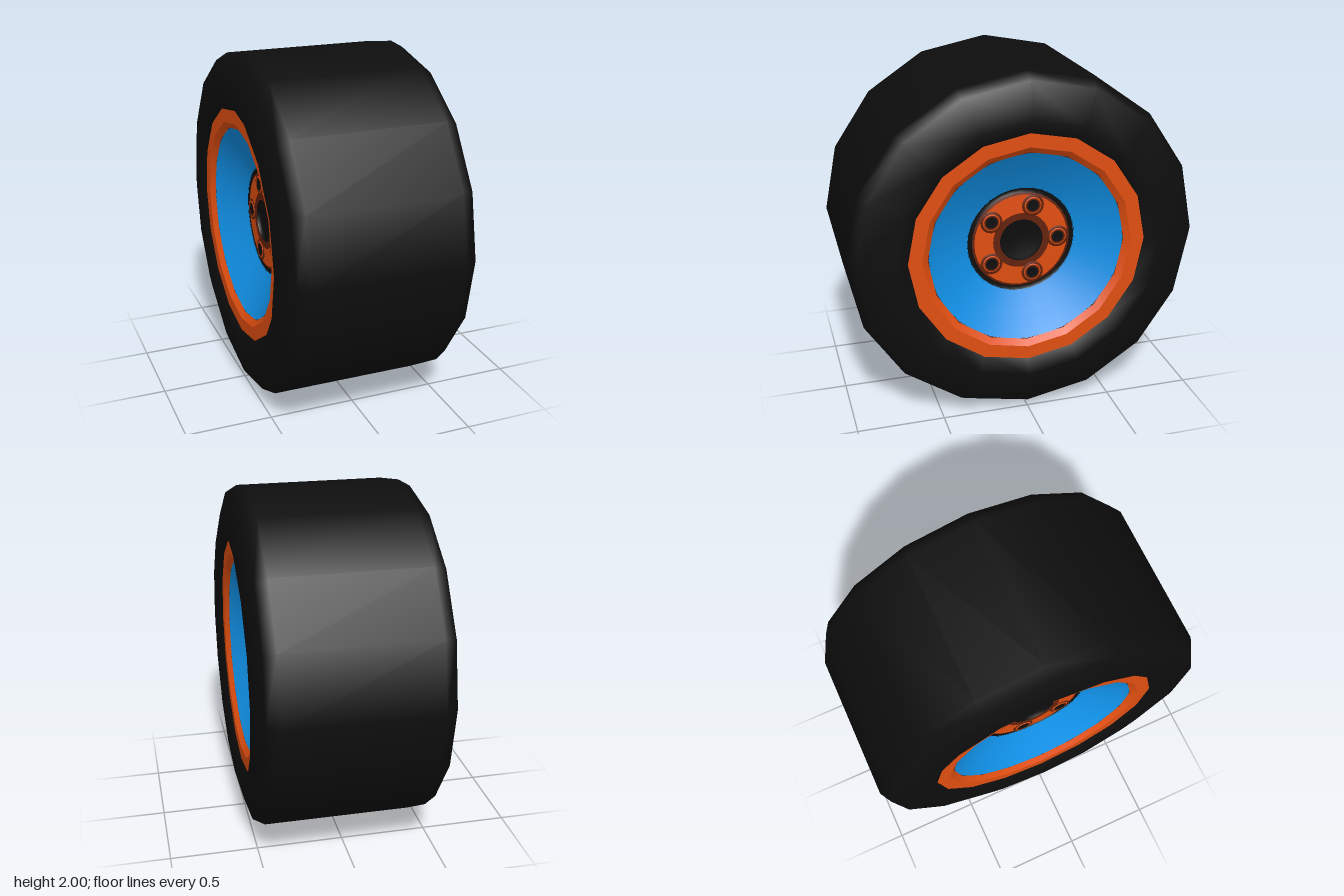
import * as THREE from 'three';

const material = (name, color, side = THREE.FrontSide) => {
  const m = new THREE.MeshStandardMaterial({ color, side });
  m.name = name;
  return m;
};

export function createModel() {
  const rubber = material('rubber black', 0x0d0d0d);
  const orange = material('orange', 0xe04e10);
  const blue = material('blue', 0x1090e6);
  const brown = material('dark orange', 0x64210b);

  // Adds a turned part: profile points are [radius, distance along axle]
  const turned = (parent, name, mat, segments, profile) => {
    const points = profile.map(([r, h]) => new THREE.Vector2(r, h));
    const mesh = new THREE.Mesh(new THREE.LatheGeometry(points, segments), mat);
    mesh.name = name;
    parent.add(mesh);
    return mesh;
  };

  const wheel = new THREE.Group();
  wheel.name = 'wheel';

  // Sixteen-sided tyre with rounded shoulders
  const half = [[1, 0.435], [0.96, 0.505], [0.76, 0.555], [0.675, 0.51]];
  const tyreProfile = [...half.map(([r, h]) => [r, -h]).reverse(), ...half];
  const tyre = turned(wheel, 'tyre', rubber, 16, tyreProfile);
  tyre.rotation.z = -Math.PI / 2;

  // One wheel face, built with its outward direction along +y
  const makeFace = (name) => {
    const face = new THREE.Group();
    face.name = name;

    // Rim lip and its inner bevel
    turned(face, 'rimLip', orange, 16, [[0.68, 0.512], [0.6, 0.512]]);
    turned(face, 'rimBevel', orange, 16, [[0.6, 0.512], [0.565, 0.485]]);
    turned(face, 'rimSeam', brown, 32, [[0.58, 0.488], [0.558, 0.484]]);

    // Dished disc, dark gap and hub plate
    turned(face, 'dish', blue, 32, [[0.56, 0.485], [0.44, 0.41], [0.312, 0.35]]);
    turned(face, 'hubGap', rubber, 32, [[0.315, 0.352], [0.3, 0.335], [0.284, 0.35]]);
    turned(face, 'hubEdge', brown, 32, [[0.286, 0.35], [0.272, 0.354]]);
    turned(face, 'hubPlate', orange, 32, [[0.273, 0.354], [0.16, 0.358]]);
    turned(face, 'hubCollar', brown, 32, [[0.165, 0.358], [0.125, 0.358]]);
    turned(face, 'axleHole', rubber, 32, [[0.126, 0.358], [0.122, 0.335], [0, 0.335]]);

    // Five wheel nuts, each a washer, a raised ring and a dark socket
    for (let i = 0; i < 5; i++) {
      const a = Math.PI + (i * Math.PI * 2) / 5;
      const nut = new THREE.Group();
      nut.name = 'wheelNut';
      nut.position.set(Math.sin(a) * 0.215, 0.356, Math.cos(a) * 0.215);
      turned(nut, 'washer', brown, 16, [[0.064, -0.004], [0.064, 0.003], [0.044, 0.003]]);
      turned(nut, 'nutRing', orange, 16, [[0.05, 0.003], [0.049, 0.006], [0.043, 0.006]]);
      turned(nut, 'nutSeat', brown, 16, [[0.044, 0.006], [0.034, 0.006]]);
      turned(nut, 'socket', rubber, 12, [[0.035, 0.006], [0, 0.005]]);
      face.add(nut);
    }
    return face;
  };

  // Same face on both sides
  for (const side of [1, -1]) {
    const face = makeFace(side > 0 ? 'leftFace' : 'rightFace');
    face.rotation.z = (-side * Math.PI) / 2;
    wheel.add(face);
  }

  wheel.position.y = 1;
  const model = new THREE.Group();
  model.add(wheel);
  return model;
}
